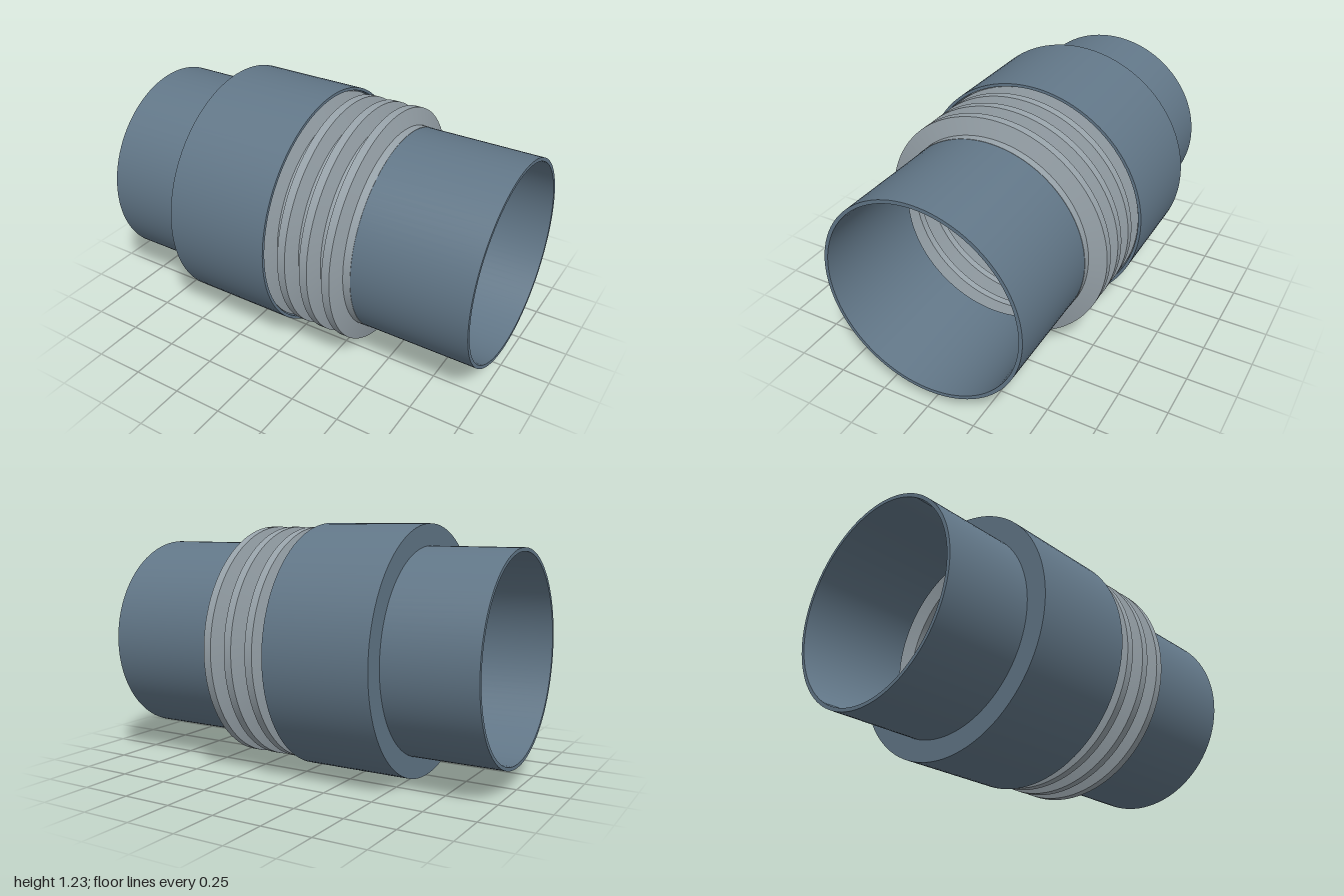
import * as THREE from 'three';
import { toCreasedNormals } from 'three/addons/utils/BufferGeometryUtils.js';

const SEGMENTS = 96;
const AXIS_Y = 0.615;
const steel = new THREE.MeshStandardMaterial({ color: 0x627788 });
const bellowsMetal = new THREE.MeshStandardMaterial({ color: 0x98a3aa, side: THREE.DoubleSide });

// Revolve [x, radius] points about the x axis: outer wall towards +x, inner wall back.
function revolve(name, points, material) {
  const profile = points.map(([x, r]) => new THREE.Vector2(r, x));
  profile.push(profile[0].clone());
  const geometry = new THREE.LatheGeometry(profile, SEGMENTS);
  geometry.rotateZ(-Math.PI / 2);
  const mesh = new THREE.Mesh(toCreasedNormals(geometry, 0.5), material);
  mesh.name = name;
  mesh.position.y = AXIS_Y;
  return mesh;
}

function pipe(name, x0, x1) {
  const outer = 0.51, inner = 0.492;
  return revolve(name, [[x0, outer], [x1, outer], [x1, inner], [x0, inner]], steel);
}

// Thin corrugated wall with evenly spaced trapezoid ridges and plain cuffs.
function bellows() {
  const root = 0.512, crest = 0.595, wall = 0.007;
  const outer = [[-0.46, root]];
  for (let i = 0; i < 7; i++) {
    const c = -0.38 + i * 0.12;
    outer.push([c - 0.042, root], [c - 0.02, crest], [c + 0.02, crest], [c + 0.042, root]);
  }
  outer.push([0.42, root]);
  const inner = outer.map(([x, r]) => [x, r - wall]).reverse();
  return revolve('bellows', [...outer, ...inner], bellowsMetal);
}

export function createModel() {
  const model = new THREE.Group();
  model.name = 'expansionJoint';

  // Pipe ends
  model.add(pipe('leftPipe', 0.38, 1), pipe('rightPipe', -1, -0.42));

  // Corrugated section joining the pipes
  model.add(bellows());

  // Protective sleeve, closed against one pipe and open over the bellows
  model.add(revolve('sleeve', [
    [-0.54, 0.505], [-0.54, 0.615], [0.01, 0.615],
    [0.01, 0.6], [-0.52, 0.6], [-0.52, 0.505],
  ], steel));

  return model;
}
